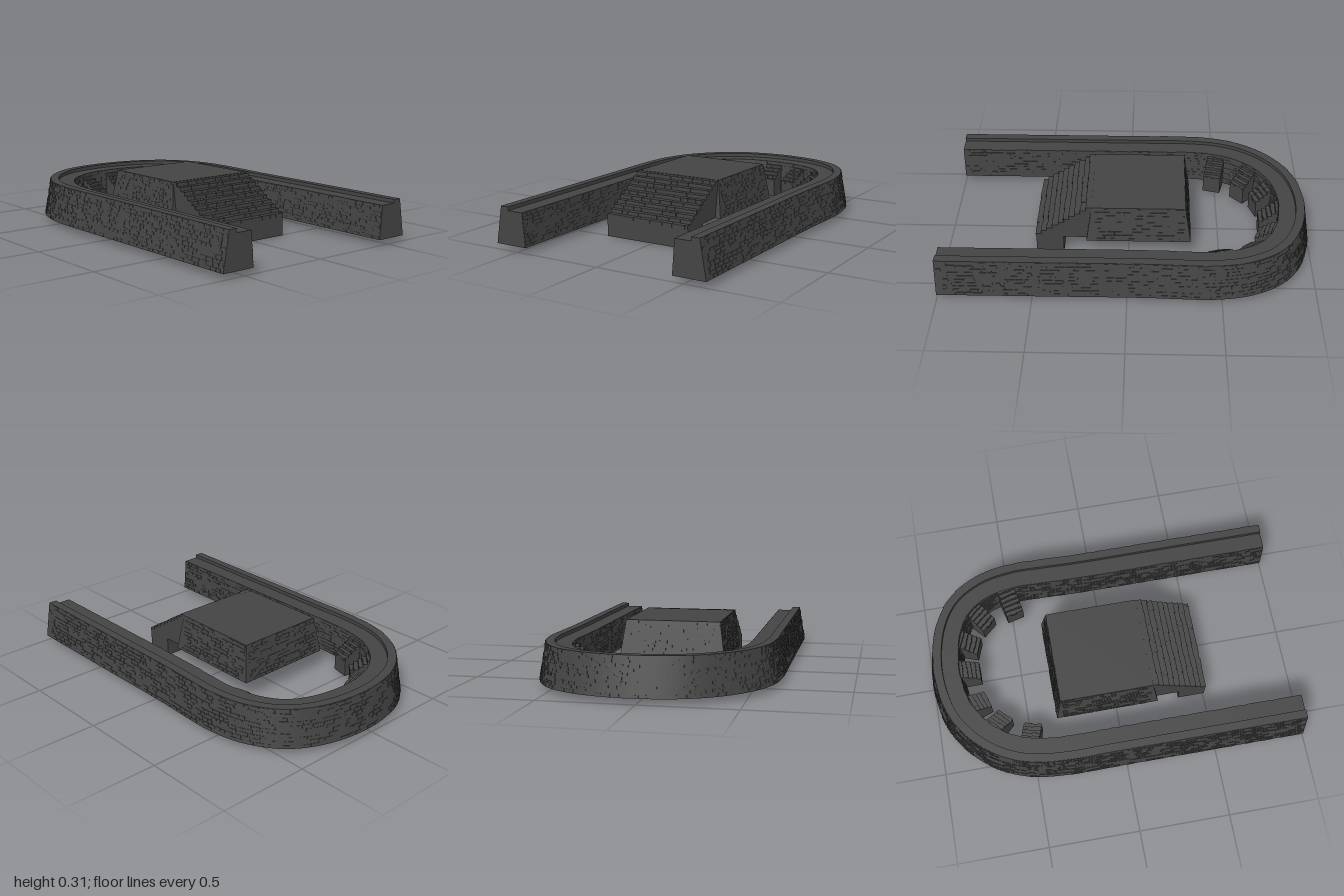
import * as THREE from 'three';
import { mergeGeometries } from 'three/addons/utils/BufferGeometryUtils.js';

const smooth = new THREE.MeshStandardMaterial({ color: 0x444444 });
const flat = new THREE.MeshStandardMaterial({ color: 0x444444, flatShading: true });
const { lerp, degToRad } = THREE.MathUtils;

let seed = 7;
const rand = () => (seed = (seed * 16807) % 2147483647) / 2147483647;

function add(parent, name, geometry, material = flat) {
  const mesh = new THREE.Mesh(geometry, material);
  mesh.name = name;
  parent.add(mesh);
  return mesh;
}

// Centre line of the U-shaped wall, [x, z], from the left end round the back to the right end
const path = new THREE.CatmullRomCurve3([
  [-0.5375, 1], [-0.5375, 0.4], [-0.5375, -0.1], [-0.5375, -0.32], [-0.517, -0.5], [-0.463, -0.64],
  [-0.363, -0.767], [-0.21, -0.867], [0.03, -0.909], [0.268, -0.868], [0.412, -0.78], [0.503, -0.63],
  [0.537, -0.45], [0.536, -0.3], [0.53, -0.1], [0.53, 0.4], [0.53, 1],
].map(([x, z]) => new THREE.Vector3(x, 0, z)));

// Point on the wall: u along the path, o outward from its centre line
function wallPoint(u, o, y) {
  const p = path.getPointAt(u), t = path.getTangentAt(u);
  return [p.x + t.z * o, y, p.z - t.x * o];
}

// Wall cross-section [outward, y]: battered sides, walkway and raised outer rim
const section = [[-0.0925, 0.03], [-0.078, 0.212], [0.012, 0.212], [0.012, 0.232], [0.058, 0.232], [0.0925, 0.03]];

function wallGeometry(steps = 140) {
  const pos = [], index = [], n = section.length;
  section.forEach((a, j) => {
    const b = section[(j + 1) % n];
    for (let i = 0; i <= steps; i++) {
      const k = pos.length / 3;
      pos.push(...wallPoint(i / steps, ...a), ...wallPoint(i / steps, ...b));
      if (i < steps) index.push(k, k + 2, k + 3, k, k + 3, k + 1);
    }
  });
  // End caps, fanned from the outer base corner
  for (const u of [0, 1]) {
    const k = pos.length / 3;
    section.forEach(s => pos.push(...wallPoint(u, ...s)));
    for (let j = 0; j < n - 2; j++) {
      index.push(k + n - 1, ...(u ? [k + j + 1, k + j] : [k + j, k + j + 1]));
    }
  }
  const g = new THREE.BufferGeometry();
  g.setAttribute('position', new THREE.Float32BufferAttribute(pos, 3));
  g.setIndex(index);
  g.computeVertexNormals();
  return g;
}

// Rows of slightly raised stones; place(pose, u, v) sets each stone on its face
function courses(length, height, rows, place) {
  const stones = [], pose = new THREE.Object3D();
  pose.rotation.order = 'YXZ';
  for (let r = 0; r < rows; r++) {
    let x = 0;
    while (x < length) {
      const w = 0.02 + 0.035 * rand();
      if (rand() < 0.65 && x + w < length) {
        place(pose, (x + w / 2) / length, (r + 0.5) / rows);
        pose.updateMatrix();
        const h = height / rows * (0.6 + 0.3 * rand());
        stones.push(new THREE.BoxGeometry(w * 0.92, h, 0.005).applyMatrix4(pose.matrix));
      }
      x += w;
    }
  }
  return mergeGeometries(stones);
}

// Stones on a battered wall face from the section's base corner to its top corner
function wallStones([o0, y0], [o1, y1]) {
  const tilt = -Math.atan(Math.abs(o1 - o0) / (y1 - y0));
  return courses(path.getLength(), y1 - y0, 10, (pose, u, v) => {
    const t = path.getTangentAt(u);
    pose.position.set(...wallPoint(u, lerp(o0, o1, v), lerp(y0, y1, v)));
    pose.rotation.set(tilt, Math.atan2(t.z, -t.x) + (o0 < 0 ? Math.PI : 0), 0);
  });
}

// Stair block: front at z = 0, climbing toward -z; under = depth of its foot
function stairs({ width, depth, base, top, under, steps, bottom = 0, stones }) {
  const group = new THREE.Group();
  const rise = (top - base) / steps, tread = depth / steps;
  const shape = new THREE.Shape();
  shape.moveTo(0, bottom);
  shape.lineTo(0, base);
  for (let i = 0; i < steps; i++) {
    shape.lineTo(-i * tread, base + (i + 1) * rise);
    shape.lineTo(-(i + 1) * tread, base + (i + 1) * rise);
  }
  shape.lineTo(-depth, base);
  shape.lineTo(-under, base);
  shape.lineTo(-under, bottom);
  const g = new THREE.ExtrudeGeometry(shape, { depth: width, bevelEnabled: false });
  g.rotateY(-Math.PI / 2).translate(width / 2, 0, 0);
  add(group, 'stairBlock', g);

  // Uneven stones laid along every step
  const laid = [];
  for (let i = 0; i < steps; i++) {
    let x = -width / 2;
    while (x < width / 2 - 0.01) {
      const w = Math.min(width / stones * (0.6 + 0.8 * rand()), width / 2 - x);
      const stone = new THREE.BoxGeometry(w * 0.94, rise * (0.8 + 0.3 * rand()), tread);
      laid.push(stone.translate(x + w / 2, base + (i + 0.5) * rise, -(i + 0.5) * tread + 0.001 + 0.005 * rand()));
      x += w;
    }
  }
  add(group, 'stepStones', mergeGeometries(laid));
  return group;
}

// Flat-topped platform with battered sides
function platformGeometry() {
  const g = new THREE.BoxGeometry(1, 1, 1), p = g.attributes.position;
  for (let i = 0; i < p.count; i++) {
    const up = p.getY(i) > 0;
    const x = p.getX(i) > 0 ? (up ? 0.22 : 0.25) : (up ? -0.29 : -0.32);
    const z = p.getZ(i) > 0 ? (up ? 0.2 : 0.23) : (up ? -0.308 : -0.34);
    p.setXYZ(i, x, up ? 0.307 : 0.105, z);
  }
  g.computeVertexNormals();
  return g;
}

export function createModel() {
  const model = new THREE.Group();
  model.name = 'fortification';

  add(model, 'curvedWall', wallGeometry(), smooth);
  add(model, 'outerWallStones', wallStones(section[5], section[4]));
  add(model, 'innerWallStones', wallStones(section[0], section[1]));

  // Platform with stone courses on both sides and the back
  add(model, 'platform', platformGeometry());
  for (const side of [-1, 1]) {
    add(model, 'platformSideStones', courses(0.5, 0.2, 10, (pose, u, v) => {
      pose.position.set(-0.035 + side * lerp(0.285, 0.255, v), lerp(0.105, 0.305, v), lerp(-0.305, 0.195, u));
      pose.rotation.set(-0.15, side * Math.PI / 2, 0);
    }));
  }
  add(model, 'platformBackStones', courses(0.51, 0.2, 10, (pose, u, v) => {
    pose.position.set(lerp(-0.29, 0.22, u), lerp(0.105, 0.305, v), lerp(-0.34, -0.308, v));
    pose.rotation.set(-0.16, Math.PI, 0);
  }));

  // Broad staircase in front of the platform
  const mainStairs = stairs({ width: 0.508, depth: 0.31, base: 0.105, top: 0.305, under: 0.15, steps: 10, stones: 9 });
  mainStairs.name = 'mainStairs';
  mainStairs.position.set(-0.036, 0, 0.507);
  model.add(mainStairs);

  // Small stairs round the inside of the bend: [x, z, heading in degrees from +z]
  [[-0.335, -0.478, 76], [-0.255, -0.62, 45], [-0.145, -0.705, 20], [0.03, -0.725, 0],
    [0.175, -0.71, -20], [0.295, -0.635, -48], [0.338, -0.478, -76]].forEach(([x, z, deg]) => {
    const s = stairs({ width: 0.1, depth: 0.135, base: 0.105, top: 0.21, under: 0.12, steps: 6, bottom: 0.015, stones: 3 });
    s.name = 'wallStairs';
    s.position.set(x, 0, z);
    s.rotation.y = degToRad(deg);
    model.add(s);
  });

  return model;
}
